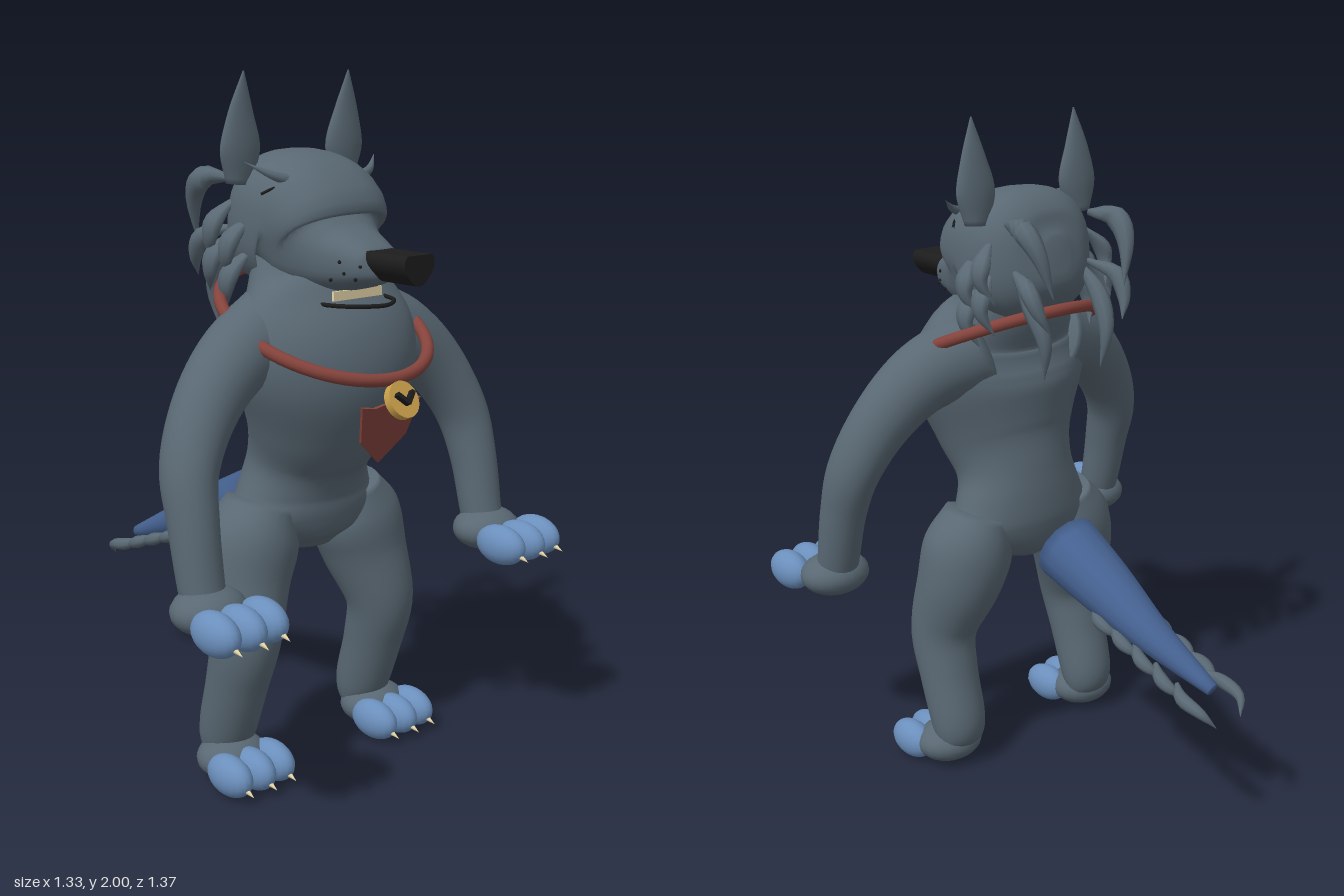
import * as THREE from 'three';

const mat = (name, color) => Object.assign(new THREE.MeshStandardMaterial({ color }), { name });

export function createModel() {
  const fur = mat('slate fur', 0x596873);
  const pawBlue = mat('paw blue', 0x6b8fbc);
  const tailBlue = mat('tail blue', 0x456190);
  const red = mat('collar red', 0x85433c);
  const gold = mat('tag gold', 0xcaa04a);
  const black = mat('black', 0x1d1d1e);
  const cream = mat('claw cream', 0xe6d6aa);
  const eyeBlue = mat('eye blue', 0x80a5d4);

  const root = new THREE.Group();
  root.name = 'wolf';
  const Z = new THREE.Vector3(0, 0, 1), Y = new THREE.Vector3(0, 1, 0);

  function add(name, geo, material, pos = [0, 0, 0], rot = [0, 0, 0], scale = [1, 1, 1], parent = root) {
    const m = new THREE.Mesh(geo, material);
    m.name = name;
    m.position.set(...pos);
    m.rotation.set(...rot);
    m.scale.set(...scale);
    parent.add(m);
    return m;
  }

  // Smooth skin through oval sections [x, y, z, radiusU, radiusV]; V follows the ref axis
  function loft(sections, { ref = Z, steps = 6, sides = 24, power = 1 } = {}) {
    const path = new THREE.CatmullRomCurve3(sections.map(s => new THREE.Vector3(s[0], s[1], s[2])), false, 'catmullrom');
    const radii = new THREE.CatmullRomCurve3(sections.map(s => new THREE.Vector3(s[3], s[4], 0)), false, 'catmullrom');
    const rows = (sections.length - 1) * steps, pos = [], idx = [];
    const bend = c => Math.sign(c) * Math.pow(Math.abs(c), power);
    for (let i = 0; i <= rows; i++) {
      const c = path.getPoint(i / rows), t = path.getTangent(i / rows), r = radii.getPoint(i / rows);
      const v = ref.clone().addScaledVector(t, -ref.dot(t)).normalize();
      const u = v.clone().cross(t);
      for (let j = 0; j < sides; j++) {
        const a = j / sides * Math.PI * 2;
        const p = c.clone().addScaledVector(u, bend(Math.cos(a)) * Math.max(r.x, 0.001))
          .addScaledVector(v, bend(Math.sin(a)) * Math.max(r.y, 0.001));
        pos.push(p.x, p.y, p.z);
      }
    }
    for (let i = 0; i < rows; i++) for (let j = 0; j < sides; j++) {
      const k = (j + 1) % sides, a = i * sides + j, b = i * sides + k;
      idx.push(a, b, b + sides, a, b + sides, a + sides);
    }
    // End caps
    const n = pos.length / 3, p0 = path.getPoint(0), p1 = path.getPoint(1);
    pos.push(p0.x, p0.y, p0.z, p1.x, p1.y, p1.z);
    for (let j = 0; j < sides; j++) {
      const k = (j + 1) % sides;
      idx.push(n, k, j, n + 1, rows * sides + j, rows * sides + k);
    }
    const g = new THREE.BufferGeometry();
    g.setAttribute('position', new THREE.Float32BufferAttribute(pos, 3));
    g.setIndex(idx);
    g.computeVertexNormals();
    return g;
  }

  const ball = new THREE.SphereGeometry(1, 20, 14);

  // Torso and neck: [y, half width, back z, front z]
  const torso = [[0.655, 0.08, 0.15, 0.3], [0.70, 0.18, 0.1, 0.34], [0.77, 0.255, 0.08, 0.355], [0.84, 0.225, 0.08, 0.36],
    [0.93, 0.197, 0.09, 0.39], [1.04, 0.23, 0.1, 0.46], [1.17, 0.285, 0.1, 0.51], [1.27, 0.3, 0.11, 0.495],
    [1.36, 0.28, 0.125, 0.43], [1.43, 0.21, 0.11, 0.37], [1.52, 0.16, 0.1, 0.33]];
  add('torso', loft(torso.map(([y, w, b, f]) => [0, y, (b + f) / 2, w, (f - b) / 2]), { sides: 36 }), fur);

  // Head and muzzle: [z, half width, bottom y, top y]
  const head = [[0.03, 0.04, 1.56, 1.66], [0.055, 0.13, 1.48, 1.73], [0.11, 0.19, 1.42, 1.78], [0.19, 0.207, 1.4, 1.79],
    [0.265, 0.2, 1.4, 1.765], [0.305, 0.178, 1.4, 1.665], [0.37, 0.14, 1.41, 1.61], [0.45, 0.102, 1.425, 1.575],
    [0.51, 0.075, 1.445, 1.545], [0.535, 0.035, 1.47, 1.525]];
  add('head', loft(head.map(([z, w, b, t]) => [0, (b + t) / 2, z, w, (t - b) / 2]), { ref: Y, sides: 36, power: 0.8 }), fur);

  // Nose
  const noseShape = new THREE.Shape();
  noseShape.moveTo(-0.045, 0.04);
  noseShape.lineTo(0.045, 0.04);
  noseShape.quadraticCurveTo(0.066, 0.02, 0.045, -0.01);
  noseShape.quadraticCurveTo(0.02, -0.042, 0, -0.042);
  noseShape.quadraticCurveTo(-0.02, -0.042, -0.045, -0.01);
  noseShape.quadraticCurveTo(-0.066, 0.02, -0.045, 0.04);
  add('nose', new THREE.ExtrudeGeometry(noseShape, { depth: 0.16, bevelEnabled: false }), black, [0, 1.5, 0.5]);

  // Mouth line and teeth
  const lip = new THREE.CatmullRomCurve3([[-0.125, 0.39], [-0.09, 0.48], [0, 0.535], [0.09, 0.48], [0.125, 0.39]]
    .map(([x, z]) => new THREE.Vector3(x, 1.393, z)));
  add('mouthLine', new THREE.TubeGeometry(lip, 24, 0.006, 6), black);
  add('teeth', new THREE.BoxGeometry(0.18, 0.026, 0.008), cream, [0, 1.413, 0.43]);

  // Collar, tag and chest shield
  add('collar', new THREE.TorusGeometry(0.302, 0.018, 12, 64), red, [0, 1.325, 0.3], [Math.PI / 2 + 0.425, 0, 0]);
  const tag = new THREE.Group();
  tag.name = 'collarTag';
  tag.position.set(0, 1.147, 0.607);
  tag.rotation.x = Math.PI / 2 - 0.48;
  root.add(tag);
  add('tagDisc', new THREE.CylinderGeometry(0.052, 0.052, 0.022, 28), gold, [0, 0, 0], [0, 0, 0], [1, 1, 1], tag);
  for (const s of [-1, 1])
    add('tagChevron', new THREE.BoxGeometry(0.044, 0.02, 0.012), black, [s * 0.014, 0.017, 0], [0, s * 0.78, 0], [1, 1, 1], tag);
  const shield = new THREE.Shape([[-0.11, 0.09], [-0.06, 0.08], [0, 0.09], [0.06, 0.08], [0.11, 0.09], [0.085, -0.02], [0, -0.095], [-0.085, -0.02]]
    .reverse().map(p => new THREE.Vector2(...p)));
  add('chestShield', new THREE.ExtrudeGeometry(shield, { depth: 0.008, bevelEnabled: false }), red, [0, 1.05, 0.54], [0.27, 0, 0]);

  // Tail cone
  add('tail', loft([[0, 0.72, -0.005, 0.106, 0.106], [0.01, 0.645, -0.2, 0.088, 0.084],
    [0.018, 0.565, -0.4, 0.058, 0.053], [0.002, 0.473, -0.617, 0.021, 0.02]], { ref: Y, sides: 14 }), tailBlue);

  // Curved, pointed fur tuft through the given points
  const tuft = (name, pts, w, d, ref = Z) => {
    const taper = [0.35, 1, 0.75, 0.03];
    add(name, loft(pts.map((p, i) => [...p, w * taper[i], d * taper[i]]), { ref, steps: 4, sides: 8 }), fur);
  };

  // Paw with three toes and claws, centred on the middle toe
  const paw = (name, x, y, z, palmZ) => {
    const g = new THREE.Group();
    g.name = name;
    g.position.set(x, y, z);
    root.add(g);
    add('palm', ball, fur, [0, 0.008, palmZ], [0, 0, 0], [0.108, 0.064, 0.095], g);
    for (const i of [-1, 0, 1]) {
      add('toe', ball, pawBlue, [i * 0.078, 0, i ? -0.008 : 0], [0, 0, 0], [0.047, 0.059, 0.086], g);
      add('claw', new THREE.ConeGeometry(0.011, 0.042, 8), cream, [i * 0.078, -0.022, i ? 0.078 : 0.086], [Math.PI / 2 + 0.3, 0, 0], [1, 1, 1], g);
    }
  };

  for (const s of [-1, 1]) {
    const side = s > 0 ? 'left' : 'right';
    const mirror = list => list.map(([x, ...r]) => [s * x, ...r]);

    // Arms
    add(side + 'Arm', loft(mirror([[0.14, 1.31, 0.25, 0.13, 0.12], [0.31, 1.25, 0.285, 0.108, 0.105], [0.435, 1.14, 0.315, 0.092, 0.092],
      [0.517, 1.0, 0.35, 0.076, 0.085], [0.537, 0.86, 0.39, 0.067, 0.073], [0.54, 0.7, 0.425, 0.063, 0.063], [0.54, 0.63, 0.445, 0.055, 0.06]])), fur);
    paw(side + 'Hand', s * 0.538, 0.635, 0.588, -0.135);

    // Legs
    add(side + 'Leg', loft(mirror([[0.165, 0.81, 0.22, 0.09, 0.11], [0.2, 0.71, 0.222, 0.14, 0.134], [0.232, 0.6, 0.232, 0.132, 0.13],
      [0.265, 0.44, 0.272, 0.103, 0.105], [0.272, 0.3, 0.245, 0.092, 0.09], [0.272, 0.14, 0.2, 0.086, 0.08], [0.272, 0.07, 0.2, 0.07, 0.05]])), fur);
    paw(side + 'Foot', s * 0.285, 0.062, 0.33, -0.095);

    // Ears
    add(side + 'Ear', loft(mirror([[0.198, 1.70, 0.16, 0.035, 0.025], [0.192, 1.79, 0.165, 0.068, 0.028],
      [0.194, 1.89, 0.17, 0.043, 0.018], [0.192, 2.0, 0.18, 0.002, 0.002]]), { sides: 12 }), fur);

    // Eyes, lids and brows
    add(side + 'Eye', ball, eyeBlue, [s * 0.143, 1.663, 0.289], [-0.25, s * 0.45, s * 0.1], [0.048, 0.024, 0.022]);
    const lid = new THREE.CatmullRomCurve3(mirror([[0.085, 1.66, 0.318], [0.12, 1.69, 0.306], [0.17, 1.697, 0.288], [0.2, 1.68, 0.262]])
      .map(p => new THREE.Vector3(...p)));
    add(side + 'Lid', new THREE.TubeGeometry(lid, 12, 0.004, 5), black);
    tuft(side + 'Brow', mirror([[0.07, 1.672, 0.305], [0.12, 1.71, 0.302], [0.18, 1.73, 0.285], [0.24, 1.765, 0.24]]), 0.015, 0.015);

    // Whisker dots
    for (const [x, y, z] of [[0.07, 1.5, 0.512], [0.09, 1.48, 0.472], [0.098, 1.51, 0.462], [0.075, 1.465, 0.5], [0.104, 1.46, 0.435]])
      add(side + 'WhiskerDot', ball, black, [s * x, y, z], [0, 0, 0], [0.005, 0.005, 0.005]);

    // Mane at the back of the head
    tuft(side + 'Mane', mirror([[0.155, 1.71, 0.07], [0.175, 1.705, -0.02], [0.165, 1.64, -0.075], [0.135, 1.52, -0.1]]), 0.03, 0.035);
    tuft(side + 'Mane', mirror([[0.14, 1.57, 0.06], [0.17, 1.54, -0.03], [0.165, 1.48, -0.07], [0.14, 1.42, -0.09]]), 0.024, 0.028);
    tuft(side + 'Mane', mirror([[0.12, 1.56, 0.07], [0.13, 1.48, 0.0], [0.12, 1.38, -0.045], [0.11, 1.27, -0.03]]), 0.026, 0.03);

    // Cheek fur
    for (let i = 0; i < 4; i++) {
      const y = 1.65 - i * 0.045, z = 0.09 + (i % 2) * 0.07;
      tuft(side + 'CheekFur', mirror([[0.185, y, z + 0.03], [0.23, y - 0.05, z + 0.01], [0.24, y - 0.1, z], [0.215, y - 0.16, z - 0.03]]), 0.02, 0.035);
    }

    // Fur along the tail
    for (let i = 0; i < 5; i++) {
      const z = -0.19 - i * 0.085, y = 0.6 - i * 0.031, l = i > 3 ? 1.3 : 1;
      tuft(side + 'TailFur', mirror([[0.055, y, z], [0.082, y - 0.02, z - 0.045], [0.08, y - 0.04, z - 0.09 * l], [0.05, y - 0.063 * l, z - 0.115 * l]]),
        0.02, 0.02, Y);
    }
  }
  return root;
}
